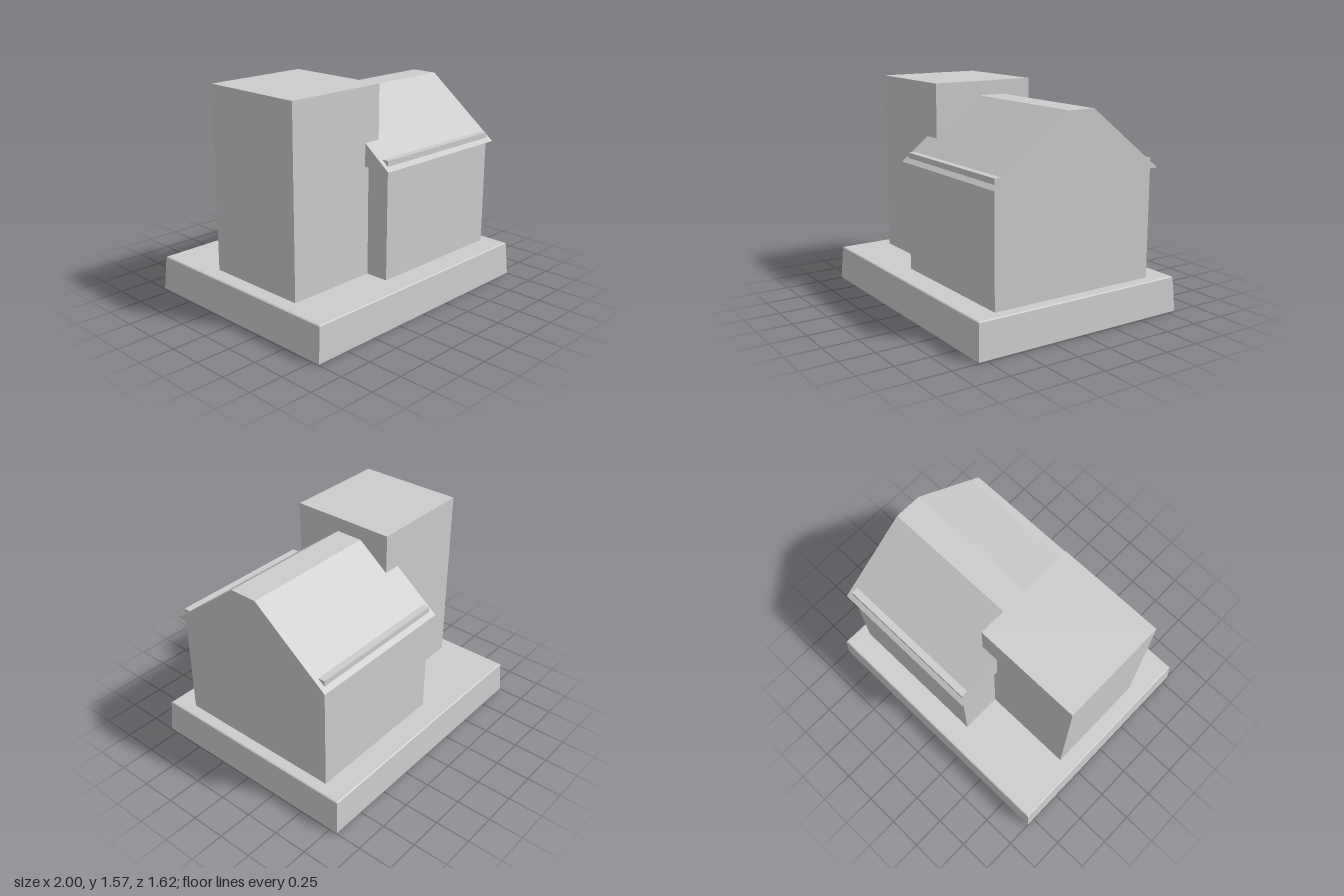
import * as THREE from 'three';

const stone = new THREE.MeshStandardMaterial({ color: 0xcccccc });
stone.name = 'light grey';

function add(group, name, geometry) {
  const mesh = new THREE.Mesh(geometry, stone);
  mesh.name = name;
  group.add(mesh);
}

// Box given by its lower and upper bounds
function block(x0, x1, y0, y1, z0, z1) {
  return new THREE.BoxGeometry(x1 - x0, y1 - y0, z1 - z0)
    .translate((x0 + x1) / 2, (y0 + y1) / 2, (z0 + z1) / 2);
}

// Tapered slab with slightly bevelled edges: rows of [y, half width, half depth]
function plinth(rows) {
  const n = rows.length - 1;
  const box = new THREE.BoxGeometry(2, n, 2, 1, n, 1).translate(0, n / 2, 0);
  const p = box.attributes.position;
  for (let i = 0; i < p.count; i++) {
    const [y, w, d] = rows[Math.round(p.getY(i))];
    p.setXYZ(i, p.getX(i) * w, y, p.getZ(i) * d);
  }
  const flat = box.toNonIndexed();
  flat.computeVertexNormals();
  return flat;
}

// Flat-topped gable roof running along x
function gableRoof(x0, x1, eave, ridge, halfSpan, halfTop) {
  const shape = new THREE.Shape([
    new THREE.Vector2(-halfSpan, eave),
    new THREE.Vector2(halfSpan, eave),
    new THREE.Vector2(halfTop, ridge),
    new THREE.Vector2(-halfTop, ridge),
  ]);
  return new THREE.ExtrudeGeometry(shape, { depth: x1 - x0, bevelEnabled: false })
    .rotateY(Math.PI / 2)
    .translate(x0, 0, 0);
}

export function createModel() {
  const model = new THREE.Group();
  model.name = 'house';
  add(model, 'base', plinth([
    [0, 0.995, 0.805], [0.006, 1, 0.81], [0.248, 0.98, 0.798], [0.254, 0.972, 0.79],
  ]));
  add(model, 'tower', block(-0.865, -0.09, 0.25, 1.57, -0.325, 0.455));
  // The walls rise slightly through the roof near the eaves
  add(model, 'houseWalls', block(-0.187, 0.895, 0.25, 1.095, -0.627, 0.627));
  add(model, 'roof', gableRoof(-0.22, 0.93, 1.03, 1.468, 0.66, 0.1));
  return model;
}
